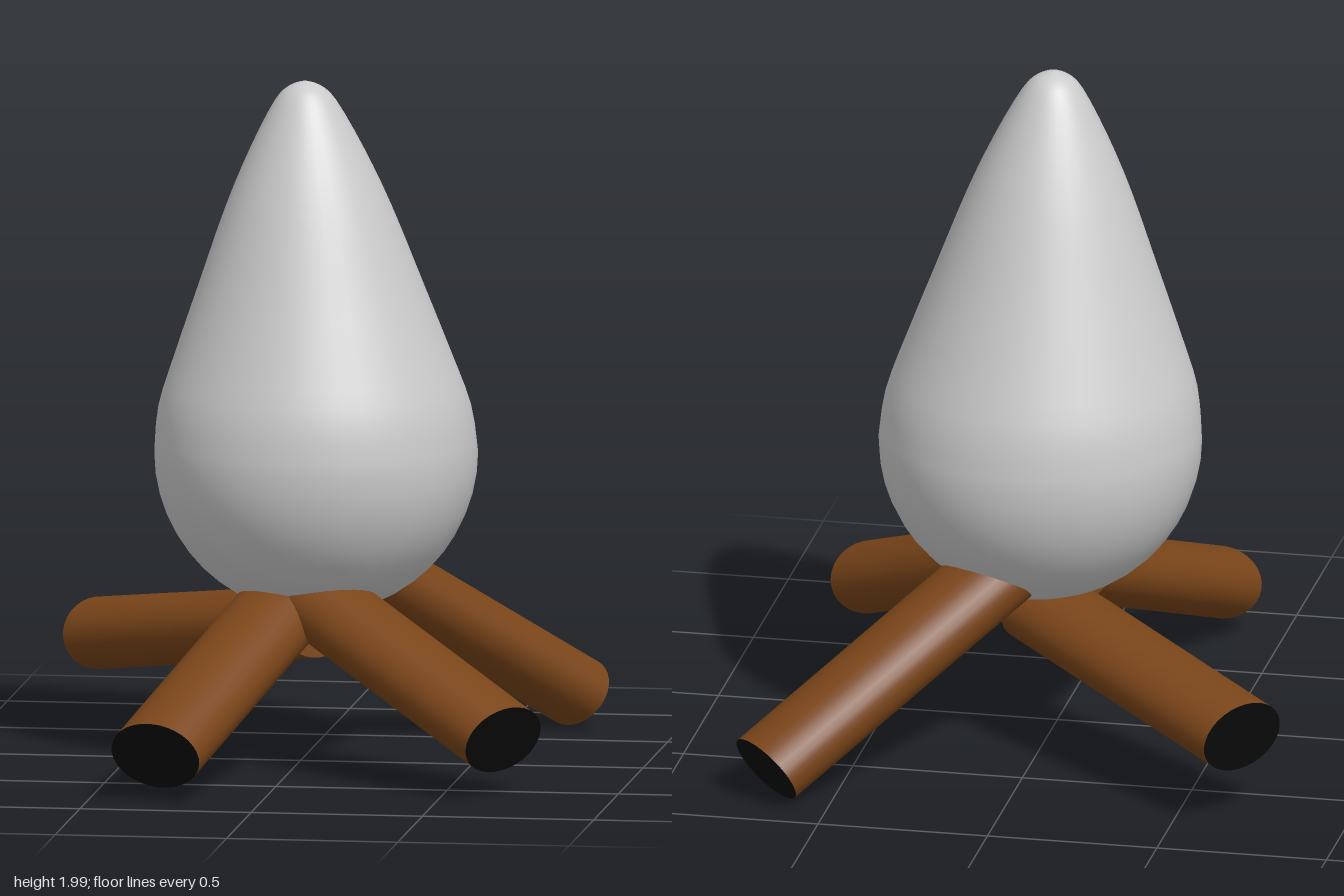
import * as THREE from 'three';

const grey = new THREE.MeshStandardMaterial({ color: 0xcccccc });
const bark = new THREE.MeshStandardMaterial({ color: 0x7a4519 });
const char = new THREE.MeshStandardMaterial({ color: 0x0a0a0a });

// Slightly flattened log running from the hub to a charred outer end
function makeLog(name, inner, outer) {
  const a = new THREE.Vector3(...inner), b = new THREE.Vector3(...outer);
  const axis = b.clone().sub(a);
  const length = axis.length();
  axis.normalize();
  const side = new THREE.Vector3(0, 1, 0).cross(axis).normalize();
  const up = side.clone().cross(axis);
  const geometry = new THREE.CylinderGeometry(1, 1, length, 32);
  geometry.scale(0.14, 1, 0.105);
  geometry.applyMatrix4(new THREE.Matrix4().makeBasis(side, axis, up));
  const log = new THREE.Mesh(geometry, [bark, char, bark]);
  log.position.copy(a).add(b).multiplyScalar(0.5);
  log.name = name;
  return log;
}

// Teardrop flame: round bowl below, tapering to a tip that leans forward
function makeFlame() {
  const radius = 0.468, centreY = 0.9;
  const points = [];
  for (let i = 0; i <= 12; i++) {
    const t = (i / 12) * Math.PI / 2;
    points.push(new THREE.Vector2(radius * Math.sin(t), centreY - radius * Math.cos(t)));
  }
  const taper = new THREE.SplineCurve([
    [0.468, 0.9], [0.452, 1.04], [0.398, 1.2], [0.325, 1.4], [0.24, 1.63],
    [0.165, 1.8], [0.09, 1.94], [0.045, 1.985], [0, 2],
  ].map(([x, y]) => new THREE.Vector2(x, y)));
  points.push(...taper.getPoints(24).slice(1));
  points[0].x = points[points.length - 1].x = 0;

  const geometry = new THREE.LatheGeometry(points, 40);
  const p = geometry.attributes.position;
  for (let i = 0; i < p.count; i++) {
    const lean = Math.max(0, (p.getY(i) - centreY) / 1.1);
    p.setX(i, p.getX(i) + 0.035 - 0.02 * lean);
    p.setZ(i, p.getZ(i) - 0.075 + 0.09 * lean);
  }
  const flame = new THREE.Mesh(geometry, grey);
  flame.name = 'flame';
  return flame;
}

export function createModel() {
  const model = new THREE.Group();
  model.name = 'campfire';
  model.add(
    makeFlame(),
    makeLog('frontRightLog', [-0.03, 0.48, 0.02], [-0.3, 0.147, 0.86]),
    makeLog('frontLeftLog', [0.02, 0.51, 0.04], [0.68, 0.178, 0.615]),
    makeLog('backLeftLog', [0.1, 0.57, -0.26], [0.69, 0.1, -0.82]),
    makeLog('backRightLog', [0.03, 0.4, -0.11], [-0.69, 0.26, -0.705]),
  );
  return model;
}
